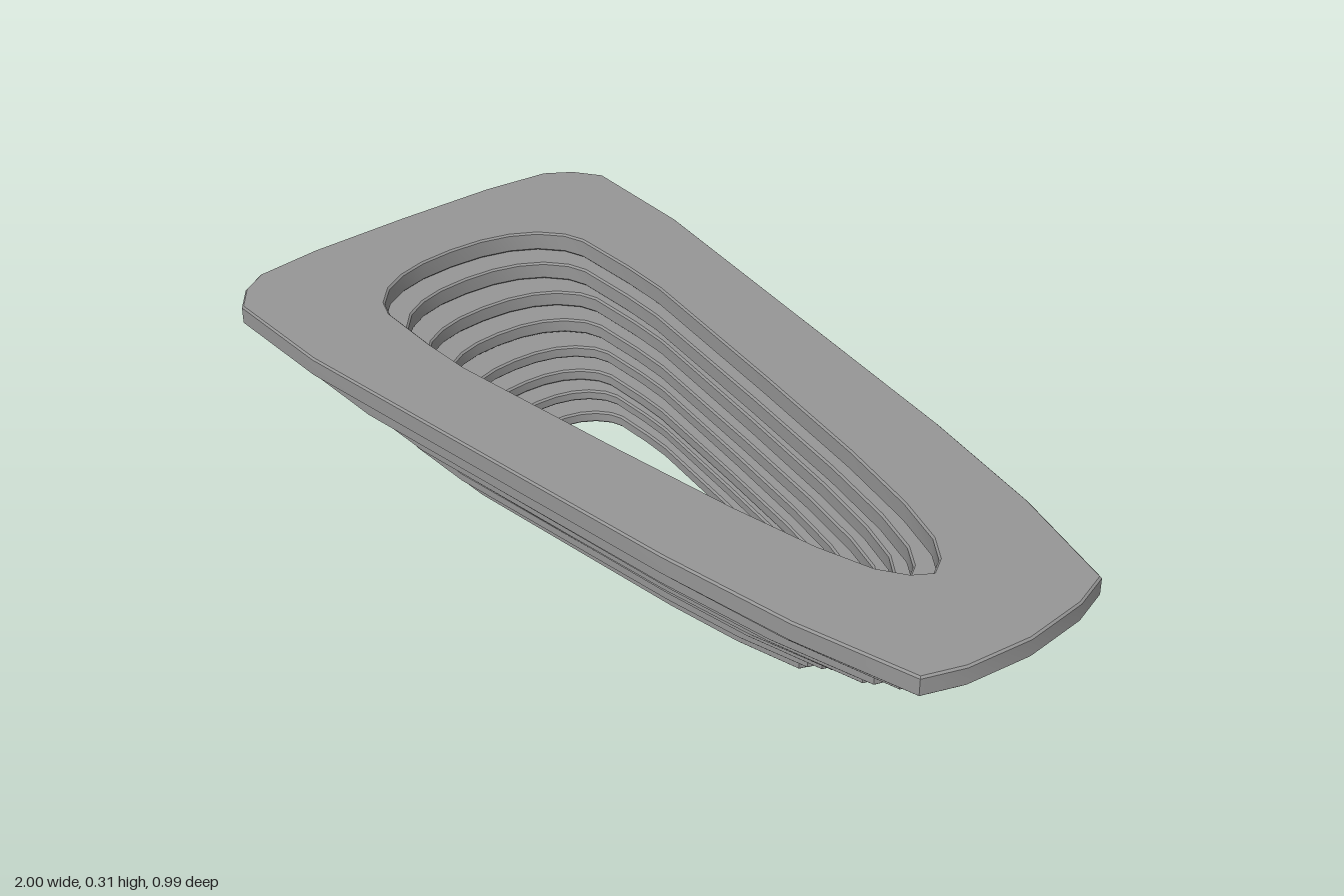
import * as THREE from 'three';
import { toCreasedNormals } from 'three/addons/utils/BufferGeometryUtils.js';

// Half outlines from the wide end to the narrow end, in units of -1..1 (mirrored across z)
const RIM = [[-1, 0], [-0.996, 0.48], [-0.978, 0.79], [-0.94, 0.91], [-0.88, 1], [-0.6, 0.99],
  [0.05, 0.815], [0.4, 0.72], [0.7, 0.61], [0.955, 0.465], [0.985, 0.29], [1, 0]];
const OPENING = [[-1, 0], [-0.993, 0.3], [-0.97, 0.55], [-0.93, 0.76], [-0.87, 0.92], [-0.81, 0.985],
  [-0.6, 1], [-0.45, 0.985], [0.1, 0.755], [0.5, 0.57], [0.75, 0.42], [0.9, 0.28], [0.97, 0.14], [1, 0]];

// Each tier: y from, y to, rim [x min, x max, half depth], opening [x min, x max, half depth]
const TIERS = [
  [0.000, 0.027, [-0.556, 0.558, 0.262], [-0.44, 0.425, 0.14]],
  [0.036, 0.061, [-0.600, 0.599, 0.294], [-0.48, 0.46, 0.153]],
  [0.064, 0.092, [-0.658, 0.648, 0.307], [-0.525, 0.495, 0.165]],
  [0.101, 0.130, [-0.704, 0.697, 0.347], [-0.565, 0.53, 0.184]],
  [0.137, 0.171, [-0.788, 0.796, 0.374], [-0.625, 0.60, 0.20]],
  [0.176, 0.213, [-0.853, 0.848, 0.419], [-0.68, 0.64, 0.224]],
  [0.217, 0.258, [-0.935, 0.925, 0.438], [-0.745, 0.69, 0.236]],
  [0.262, 0.307, [-1.000, 1.000, 0.493], [-0.80, 0.752, 0.264]],
];

// Scales a half outline to its extents and closes it by mirroring
function outline(half, [x0, x1, depth]) {
  const cx = (x0 + x1) / 2, rx = (x1 - x0) / 2;
  const lower = half.map(([x, z]) => new THREE.Vector2(cx + x * rx, -z * depth));
  const upper = half.slice(1, -1).reverse().map(([x, z]) => new THREE.Vector2(cx + x * rx, z * depth));
  return [...lower, ...upper];
}

export function createModel() {
  const group = new THREE.Group();
  group.name = 'steppedRingStack';
  const grey = new THREE.MeshStandardMaterial({ color: 0x969696 });
  grey.name = 'grey';

  // Stacked tapering rings, growing from bottom to top
  const bevel = 0.004;
  TIERS.forEach(([y0, y1, rim, opening], i) => {
    const shape = new THREE.Shape(outline(RIM, rim));
    shape.holes.push(new THREE.Path(outline(OPENING, opening).reverse()));
    const geometry = new THREE.ExtrudeGeometry(shape, {
      depth: y1 - y0 - 2 * bevel, bevelThickness: bevel, bevelSize: bevel,
      bevelOffset: -bevel, bevelSegments: 1,
    });
    geometry.rotateX(-Math.PI / 2);
    geometry.translate(0, y0 + bevel, 0);
    const ring = new THREE.Mesh(toCreasedNormals(geometry, 0.5), grey);
    ring.name = `ringTier${i + 1}`;
    group.add(ring);
  });
  return group;
}
